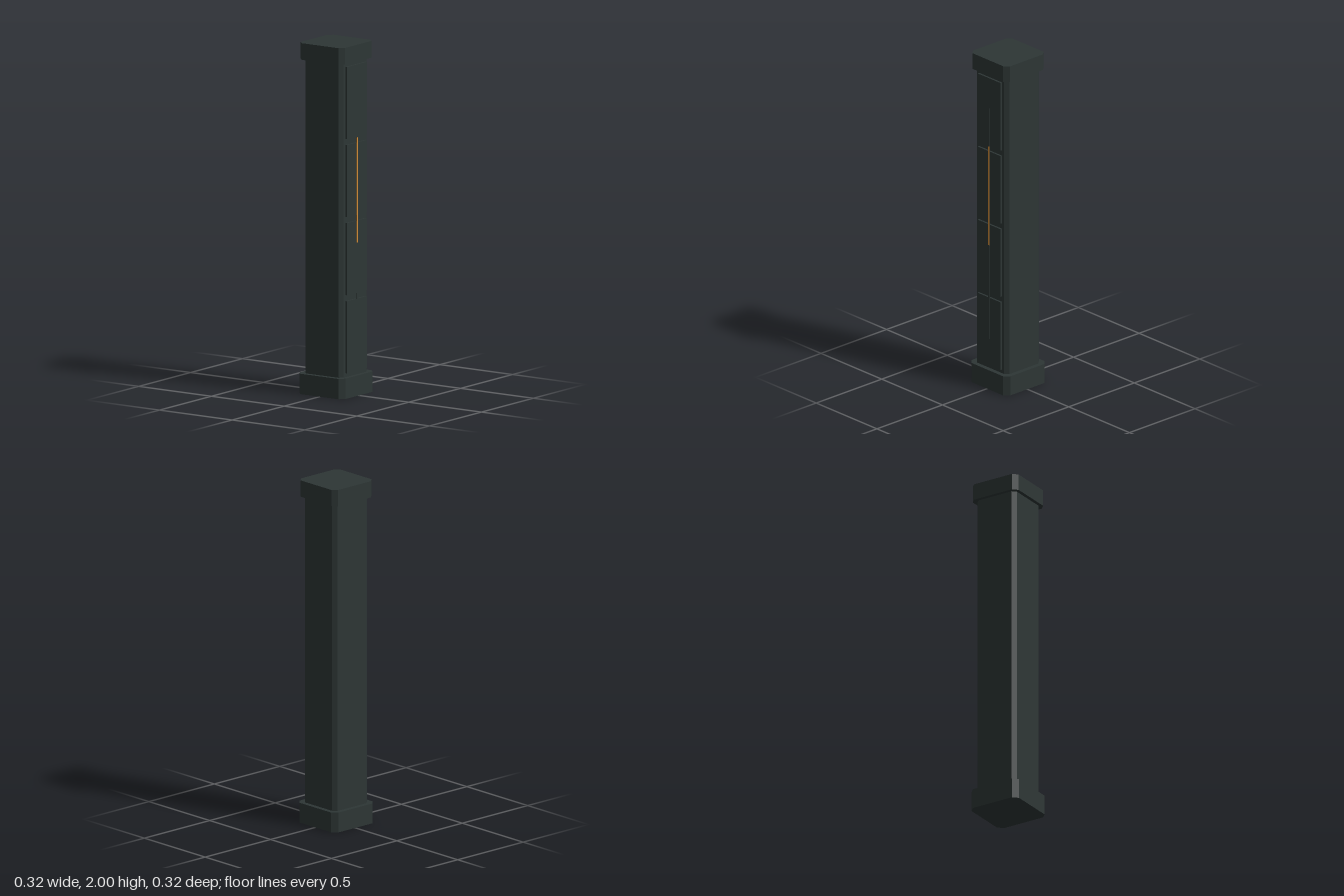
import * as THREE from 'three';

const charcoal = new THREE.MeshStandardMaterial({ color: 0x2d3635 });
charcoal.name = 'charcoal';
const amber = new THREE.MeshStandardMaterial({ color: 0xd08a35 });
amber.name = 'amber';

// Upright square block with cut corners, from y0 to y1
function chamferedBlock(name, half, cut, y0, y1) {
  const h = half, c = half - cut;
  const outline = new THREE.Shape([
    [c, -h], [h, -c], [h, c], [c, h], [-c, h], [-h, c], [-h, -c], [-c, -h],
  ].map(([x, y]) => new THREE.Vector2(x, y)));
  const geometry = new THREE.ExtrudeGeometry(outline, { depth: y1 - y0, bevelEnabled: false });
  geometry.rotateX(-Math.PI / 2);
  const mesh = new THREE.Mesh(geometry, charcoal);
  mesh.name = name;
  mesh.position.y = y0;
  return mesh;
}

// Plate on the front face, given its height range and depth range
function frontPlate(name, width, y0, y1, z0, z1, material) {
  const mesh = new THREE.Mesh(new THREE.BoxGeometry(width, y1 - y0, z1 - z0), material);
  mesh.name = name;
  mesh.position.set(0, (y0 + y1) / 2, (z0 + z1) / 2);
  return mesh;
}

export function createModel() {
  const model = new THREE.Group();
  model.name = 'pillar';

  // Base, shaft and cap
  model.add(
    chamferedBlock('base', 0.159, 0.029, 0, 0.116),
    chamferedBlock('shaft', 0.132, 0.021, 0.116, 1.905),
    chamferedBlock('cap', 0.153, 0.027, 1.905, 2),
  );

  // Four raised panels up the front
  for (let i = 0; i < 4; i++) {
    const y = 0.139 + i * 0.445;
    model.add(frontPlate('frontPanel' + (i + 1), 0.19, y, y + 0.411, 0.132, 0.144, charcoal));
  }

  // Narrow centre strip bridging the panels, with its lit section
  model.add(
    frontPlate('centreStrip', 0.013, 0.3, 1.7, 0.143, 0.146, charcoal),
    frontPlate('lightStrip', 0.01, 0.87, 1.47, 0.1455, 0.1465, amber),
  );
  return model;
}
